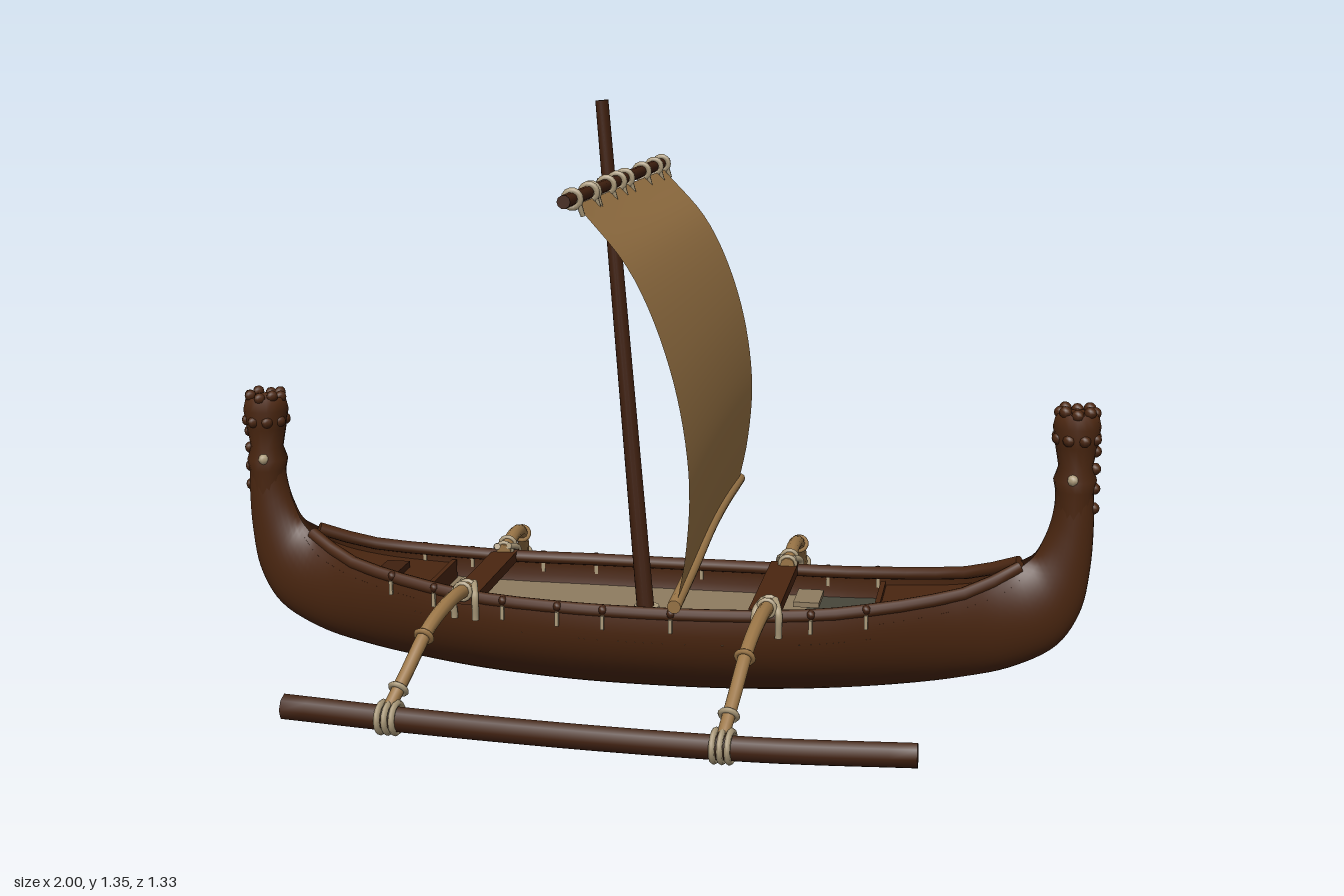
import * as THREE from 'three';

const V = (x, y, z) => new THREE.Vector3(x, y, z);
const paint = (name, color) => new THREE.MeshStandardMaterial({ name, color, side: THREE.DoubleSide });

// grid surface from a rule fn(i, j) -> Vector3
function surface(nu, nv, fn) {
  const pos = [], idx = [];
  for (let i = 0; i <= nu; i++) for (let j = 0; j <= nv; j++) pos.push(...fn(i, j).toArray());
  for (let i = 0; i < nu; i++) for (let j = 0; j < nv; j++) {
    const a = i * (nv + 1) + j, b = a + nv + 1;
    idx.push(a, a + 1, b, b, a + 1, b + 1);
  }
  const g = new THREE.BufferGeometry();
  g.setAttribute('position', new THREE.Float32BufferAttribute(pos, 3));
  g.setIndex(idx);
  g.computeVertexNormals();
  return g;
}

// capped round pole along a smooth curve, tapering from r0 to r1
function pole(points, r0, r1 = r0, sides = 10) {
  const n = points.length > 2 ? 24 : 1;
  const curve = new THREE.CatmullRomCurve3(points);
  const frames = curve.computeFrenetFrames(n);
  return surface(n + 4, sides, (i, j) => {
    const k = THREE.MathUtils.clamp(i - 2, 0, n), a = j / sides * Math.PI * 2;
    const r = i === 0 || i === n + 4 ? 0 : THREE.MathUtils.lerp(r0, r1, k / n);
    return curve.getPointAt(k / n)
      .addScaledVector(frames.normals[k], Math.cos(a) * r)
      .addScaledVector(frames.binormals[k], Math.sin(a) * r);
  });
}

// hull stations from middle to end: keel x, keel y, edge x, edge y, half width, section sweep (degrees)
const half = [
  [0, 0, 0, .225, .218, 100], [.2, .003, .2, .227, .212, 100], [.4, .014, .4, .233, .187, 100],
  [.56, .03, .55, .248, .15, 100], [.7, .052, .67, .265, .112, 105], [.82, .083, .77, .29, .077, 120],
  [.92, .14, .835, .325, .056, 150], [.968, .22, .875, .37, .045, 175], [.986, .32, .895, .425, .041, 180],
  [.99, .42, .902, .465, .04, 180], [.987, .5, .902, .5, .04, 180]
];
const stations = [
  ...half.slice(1).reverse().map(s => [-s[0], s[1], -s[2], s[3], s[4], s[5]]), ...half
];
const keel = new THREE.CatmullRomCurve3(stations.map(s => V(s[0], s[1], s[4])));
const edge = new THREE.CatmullRomCurve3(stations.map(s => V(s[2], s[3], s[5] * Math.PI / 180)));

// point on the hull skin: f = -1..1 runs from one edge under the keel to the other
function skin(t, f) {
  const b = keel.getPoint(t), e = edge.getPoint(t), a = f * e.z;
  const v = (1 - Math.cos(a)) / (1 - Math.cos(e.z));
  return V(b.x + (e.x - b.x) * v, b.y + (e.y - b.y) * v, b.z * Math.sin(a));
}
function tAt(x) {
  let lo = 0, hi = 1;
  for (let i = 0; i < 30; i++) {
    const m = (lo + hi) / 2;
    if (edge.getPoint(m).x < x) lo = m; else hi = m;
  }
  return lo;
}

export function createModel() {
  const model = new THREE.Group();
  const wood = paint('dark wood', 0x4a2610);
  const darkWood = paint('spar wood', 0x40200f);
  const bamboo = paint('pale wood', 0x9c7748);
  const cloth = paint('sail cloth', 0x9c7646);
  const rope = paint('rope', 0xab9a7a);
  const mat = paint('woven mat', 0x8f7c60);
  const slate = paint('grey cover', 0x47463a);

  const add = (name, geometry, material, x = 0, y = 0, z = 0, parent = model) => {
    const m = new THREE.Mesh(geometry, material);
    m.name = name;
    m.position.set(x, y, z);
    parent.add(m);
    return m;
  };
  // ring of rope whose axis follows dir
  const wrap = (name, p, dir, r, tube = .007, material = rope) => {
    const m = add(name, new THREE.TorusGeometry(r, tube, 6, 14), material, p.x, p.y, p.z);
    m.quaternion.setFromUnitVectors(V(0, 0, 1), dir.clone().normalize());
    return m;
  };

  // hull with upswept stems
  add('hull', surface(110, 28, (i, j) => skin(i / 110, j / 14 - 1)), wood);
  for (const s of [-1, 1]) {
    const rim = [];
    for (let i = 0; i <= 16; i++) {
      const p = skin(tAt(-.83 + i / 16 * 1.66), s);
      rim.push(V(p.x, p.y, p.z - s * .008));
    }
    add('gunwale', pole(rim, .015), wood);
  }

  // decks and floor, fitted to the hull sides
  const deck = (name, x0, x1, f, material) => {
    const t0 = tAt(x0), t1 = tAt(x1);
    add(name, surface(12, 2, (i, j) => skin(t0 + (t1 - t0) * i / 12, f).multiply(V(1, 1, j - 1))), material);
  };
  deck('sternDeck', -.84, -.53, .9, wood);
  deck('floorMat', -.54, .34, .8, mat);
  deck('greyCover', .34, .52, .8, slate);
  deck('bowDeck', .51, .84, .9, wood);
  for (const [x, w] of [[-.53, .012], [.515, .012]])
    add('deckStep', new THREE.BoxGeometry(w, .06, .29), wood, x, .195, 0);
  add('hatch', new THREE.BoxGeometry(.055, .02, .12), darkWood, -.645, .23, 0);
  add('boardStrip', new THREE.BoxGeometry(.06, .012, .11), mat, .345, .19, -.09);
  for (const [x, w] of [[-.41, .06], [.275, .066]])
    add('thwart', new THREE.BoxGeometry(w, .025, .4), wood, x, .233, 0);

  // carved heads on the stems
  const profile = [[.04, .44], [.043, .5], [.048, .525], [.038, .555], [.046, .6], [.053, .645], [.046, .675], [0, .685]]
    .map(p => new THREE.Vector2(p[0], p[1]));
  for (const s of [-1, 1]) {
    const head = new THREE.Group();
    head.name = s > 0 ? 'bowHead' : 'sternHead';
    head.position.set(s * .945, s > 0 ? 0 : -.03, 0);
    head.scale.x = s;
    model.add(head);
    add('carvedPost', new THREE.LatheGeometry(profile, 16), wood, 0, 0, 0, head);
    const knob = new THREE.SphereGeometry(.014, 8, 6);
    for (let i = 0; i < 8; i++) {
      const a = i / 8 * Math.PI * 2;
      add('crestKnob', knob, wood, Math.cos(a) * .038, .676 + .005 * (i % 2), Math.sin(a) * .038, head);
      add('browKnob', knob, wood, Math.cos(a + .4) * .044, .62, Math.sin(a + .4) * .044, head);
    }
    for (const y of [.46, .505, .55, .59]) add('ridge', knob, wood, .042, y, 0, head);
    for (const z of [-1, 1]) add('paleInlay', new THREE.SphereGeometry(.014, 8, 6), rope, -.005, .53, z * .038, head);
  }

  // small pegs along the hull sides and knots on the rim
  for (const s of [-1, 1]) for (const x of [-.6, -.49, -.32, -.19, -.085, .07, .38, .5]) {
    const t = tAt(x), p = skin(t, s * .93), e = skin(t, s);
    add('sidePeg', new THREE.BoxGeometry(.008, .032, .012), rope, p.x, p.y, p.z + s * .003);
    add('rimKnot', new THREE.SphereGeometry(.011, 8, 6), darkWood, e.x, e.y + .004, e.z);
  }

  // outrigger floats
  const floats = {
    1: [V(-.71, .085, .563), V(-.4, .078, .583), V(0, .078, .613), V(.35, .08, .622), V(.645, .088, .618)],
    '-1': [V(-.71, .085, -.58), V(-.4, .078, -.598), V(0, .078, -.627), V(.3, .08, -.632), V(.585, .088, -.633)]
  };
  for (const s of [1, -1]) add('float', pole(floats[s], .029, .027, 8), darkWood);

  // curved booms with lashings: side, inner x, outer x, outer z
  for (const [s, x0, x1, z1] of [[1, -.41, -.47, .58], [1, .285, .25, .62], [-1, -.41, -.47, .595], [-1, .285, .27, .632]]) {
    const at = (k, y) => V(x0 + (x1 - x0) * k * k, y, s * (.16 + (z1 - .16) * k));
    const pts = [at(0, .248), at(.3, .257), at(.6, .228), at(.85, .155), at(1, .105)];
    add('boom', pole(pts, .017, .014), bamboo);
    const curve = new THREE.CatmullRomCurve3(pts);
    for (const u of [.02, .1, .6, .9])
      wrap('boomLashing', curve.getPointAt(u), curve.getTangentAt(u), .018, .006, u === .6 ? bamboo : rope);
    for (const dx of [-.016, 0, .016])
      wrap('floatLashing', V(x1 + dx, .082, s * z1), V(1, 0, s * .1), .032, .007);
    for (const dx of [-.026, .026]) {
      const p = skin(tAt(x0 + dx), s * .95);
      add('hullLashing', pole([V(x0 + dx * .5, .262, p.z - s * .03), V(x0 + dx, .245, p.z + s * .012), V(x0 + dx, .185, p.z + s * .01)], .008), rope);
    }
  }

  // mast
  add('mast', pole([V(-.025, .14, 0), V(-.126, 1.35, 0)], .021, .015, 12), darkWood);
  add('mastFoot', new THREE.CylinderGeometry(.03, .034, .03, 12), rope, -.025, .165, 0);

  // yard and its lashings
  const yardY = z => 1.173 + z * .014;
  add('yard', pole([V(-.085, yardY(.57), .57), V(-.085, yardY(-.575), -.575)], .014), darkWood);
  for (const z of [.5, .34, .32, .16, .045, -.045, -.25, -.41, -.51]) {
    wrap('yardLashing', V(-.083, yardY(z), z), V(0, 0, 1), .017, .007);
    add('sailTie', pole([V(-.072, yardY(z), z), V(-.062, yardY(z) - .035, z - .006)], .007, .005, 6), rope);
  }
  wrap('mastLashing', V(-.108, 1.17, 0), V(-.08, 1, 0), .024, .009);

  // billowing sail
  const belly = new THREE.CatmullRomCurve3(
    [V(-.075, 1.16, 0), V(.035, 1.03, 0), V(.115, .84, 0), V(.152, .63, 0), V(.145, .47, 0), V(.125, .36, 0)]);
  add('sail', surface(28, 20, (i, j) => {
    const u = i / 28, w = j / 10 - 1, p = belly.getPointAt(u);
    const bow = Math.sin(u * Math.PI);
    const z = w > 0 ? w * (.497 - .042 * u) : w * (.503 - .05 * u + .02 * bow);
    p.y += (1 - u) * z * .018 + u * (.015 - .025 * w - .025 * w * w);
    return p.setZ(z);
  }), cloth);

  // lower sail roll
  add('footRoll', pole([V(.122, .325, .472), V(.124, .347, .25), V(.125, .376, 0), V(.125, .383, -.2), V(.124, .377, -.485)], .015, .013), bamboo);
  return model;
}
